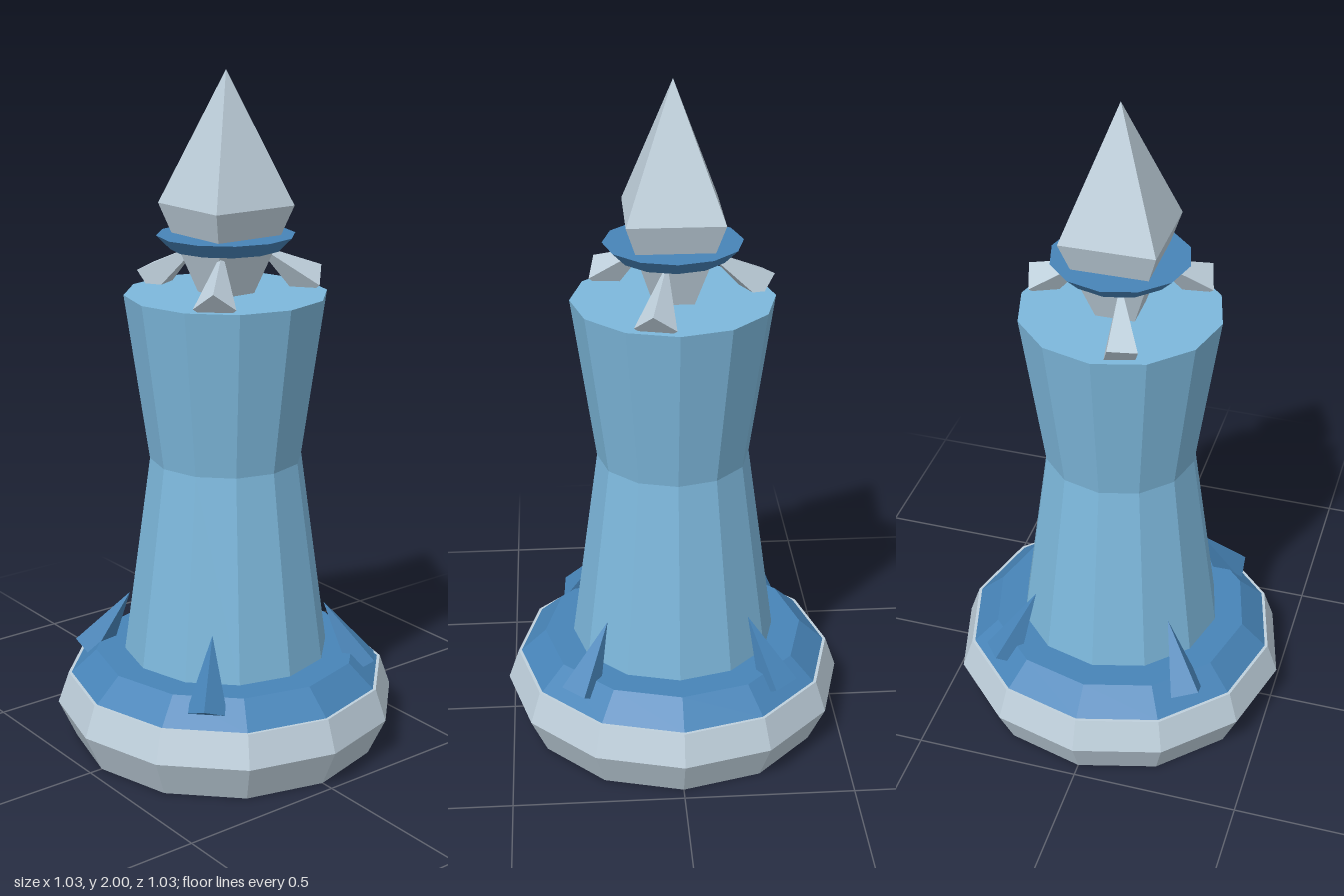
import * as THREE from 'three';

const mat = (name, color) => {
  const m = new THREE.MeshStandardMaterial({ color });
  m.name = name;
  m.flatShading = true;
  return m;
};

export function createModel() {
  const model = new THREE.Group();
  model.name = 'crystalTower';
  const stone = mat('pale stone', 0xbfd0dc);
  const blue = mat('deep blue', 0x4784b8);
  const ice = mat('ice blue', 0x7db8dc);

  const add = (name, geometry, material, parent = model) => {
    const mesh = new THREE.Mesh(geometry, material);
    mesh.name = name;
    parent.add(mesh);
    return mesh;
  };

  // Closed faceted solid from [radius, y] rings, bottom to top
  const turned = (name, rings, material, sides = 12) => {
    const pts = [[0, rings[0][1]], ...rings, [0, rings.at(-1)[1]]];
    const geo = new THREE.LatheGeometry(pts.map(([r, y]) => new THREE.Vector2(r, y)), sides);
    return add(name, geo, material);
  };

  // Stacked base, waisted column and collar
  turned('footing', [[0.46, 0], [0.513, 0.115], [0.48, 0.21]], stone);
  turned('plinth', [[0.472, 0.209], [0.395, 0.28]], blue);
  turned('column', [[0.309, 0.27], [0.225, 0.88], [0.295, 1.37]], ice);
  turned('collar', [[0.16, 1.5], [0.2, 1.54]], blue);

  // Square crystal whose lower taper runs through the collar into the column
  const s = Math.SQRT2;
  const crystal = turned('crystal', [[0.045 * s, 1.33], [0.138 * s, 1.625], [0.0005, 2]], stone, 4);
  crystal.rotation.y = Math.PI / 4;

  // Four-sided spike: tip at (radius, height), leaning outward and down
  const spike = (name, material, azimuth, radius, height, lean, twist, length) => {
    const rad = THREE.MathUtils.degToRad;
    const geo = new THREE.ConeGeometry(0.06, length, 4);
    geo.translate(0, -length / 2, 0);
    geo.rotateY(rad(45 + twist));
    geo.rotateZ(rad(lean));
    geo.translate(radius, height, 0);
    geo.rotateY(-rad(azimuth));
    add(name, geo, material);
  };

  // Shards leaning against the foot of the column
  [[45, 5], [135, -45], [225, -35], [315, -8]].forEach(([azimuth, twist]) =>
    spike('baseShard', blue, azimuth, 0.295, 0.43, 32, twist, 0.226));

  // Three shards around the crystal on top of the column
  [[14, 45], [134, 45], [254, 8]].forEach(([azimuth, twist]) =>
    spike('topShard', stone, azimuth, 0.09, 1.505, 55, twist, 0.22));

  return model;
}
